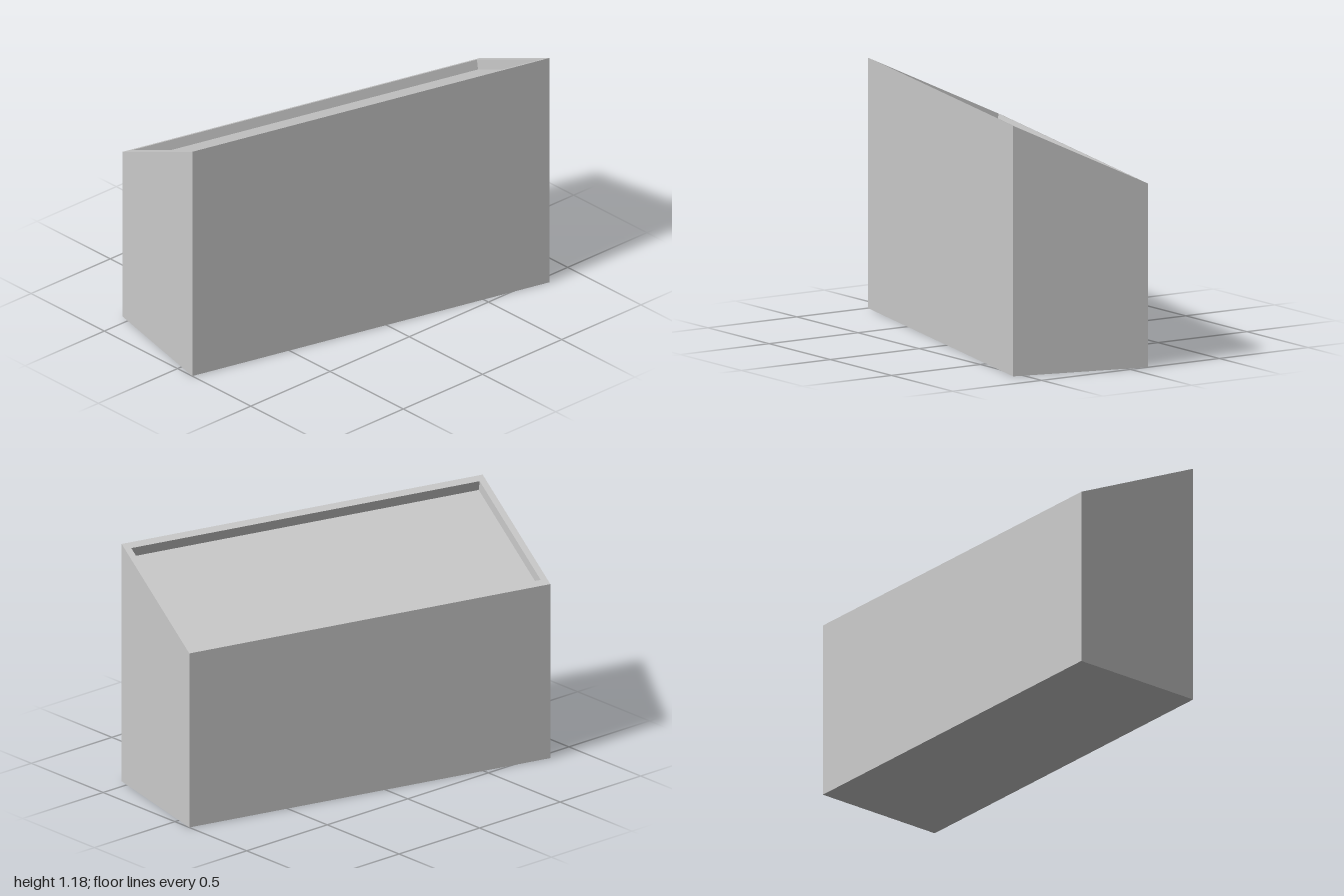
import * as THREE from 'three';

const material = new THREE.MeshStandardMaterial({ color: 0xcccccc, flatShading: true });
const HALF_X = 0.947, HALF_Z = 0.3345, RIM = 0.033;

// Height of the sloped top: high at the front, low at the back
const topAt = (z) => 1.0225 + 0.1575 * (z / HALF_Z);

// Four corners, counter-clockwise from above
function ring(hx, hz, heightAt, shiftZ = 0) {
  return [[-1, -1], [-1, 1], [1, 1], [1, -1]].map(([sx, sz]) =>
    new THREE.Vector3(sx * hx, heightAt(sz * hz), sz * hz + shiftZ));
}

function quadMesh(name, quads) {
  const points = quads.flatMap(([a, b, c, d]) => [a, b, c, a, c, d]);
  const geometry = new THREE.BufferGeometry().setFromPoints(points);
  geometry.computeVertexNormals();
  const mesh = new THREE.Mesh(geometry, material);
  mesh.name = name;
  return mesh;
}

// Quads joining one ring to the next
const band = (from, to) => from.map((p, i) => {
  const j = (i + 1) % 4;
  return [p, from[j], to[j], to[i]];
});

export function createModel() {
  const model = new THREE.Group();
  model.name = 'slopedBox';

  const base = ring(HALF_X, HALF_Z, () => 0);
  const outer = ring(HALF_X, HALF_Z, topAt);
  const inner = ring(HALF_X - RIM, HALF_Z - RIM, topAt);
  const floor = ring(HALF_X - RIM, HALF_Z - RIM, (z) => topAt(z) - 0.047, 0.01);

  // Outer walls and underside
  model.add(quadMesh('body', [...band(base, outer), [...base].reverse()]));
  // Border around the top and the short walls of the recess
  model.add(quadMesh('rim', [...band(outer, inner), ...band(inner, floor)]));
  // Sunken sloped panel
  model.add(quadMesh('topPanel', [floor]));

  // The whole box stands turned about the vertical axis
  model.rotation.y = -0.24;
  return model;
}
